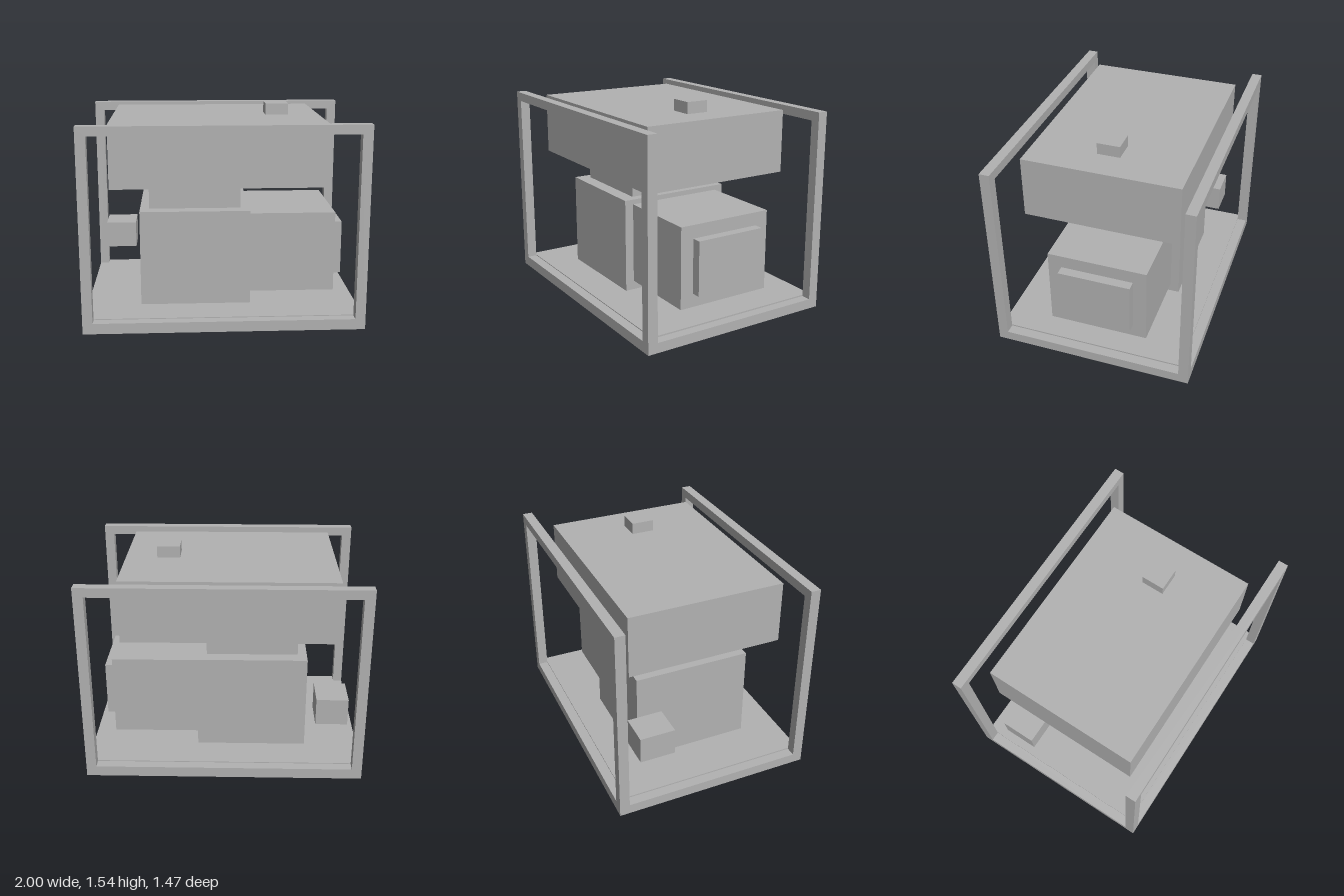
import * as THREE from 'three';

export function createModel() {
  const model = new THREE.Group();
  const grey = new THREE.MeshStandardMaterial({ color: 0xb2b2b2 });
  grey.name = 'plain grey';

  const add = (name, geometry) => {
    const mesh = new THREE.Mesh(geometry, grey);
    mesh.name = name;
    model.add(mesh);
    return mesh;
  };

  // Box given by its extents along each axis
  const block = (name, [x0, x1], [y0, y1], [z0, z1]) =>
    add(name, new THREE.BoxGeometry(x1 - x0, y1 - y0, z1 - z0))
      .position.set((x0 + x1) / 2, (y0 + y1) / 2, (z0 + z1) / 2);

  const rectangle = (Type, x, y0, y1) => new Type([
    new THREE.Vector2(-x, y0), new THREE.Vector2(x, y0),
    new THREE.Vector2(x, y1), new THREE.Vector2(-x, y1),
  ]);

  // Front and back hoops of the carrying frame
  const hoop = rectangle(THREE.Shape, 1, 0, 1.467);
  hoop.holes.push(rectangle(THREE.Path, 0.928, 0.077, 1.4));
  const hoopGeometry = new THREE.ExtrudeGeometry(hoop, { depth: 0.073, bevelEnabled: false });
  add('frontFrame', hoopGeometry).position.z = 0.66;
  add('backFrame', hoopGeometry).position.z = -0.733;

  // Bottom side rails and the floor plate between them
  block('leftRail', [0.928, 1], [0, 0.073], [-0.66, 0.66]);
  block('rightRail', [-1, -0.928], [0, 0.073], [-0.66, 0.66]);
  block('floorPlate', [-0.928, 0.928], [0.017, 0.083], [-0.66, 0.66]);

  // Engine with its cover
  block('engine', [-0.6, 0.2], [0.103, 0.803], [-0.433, 0.433]);
  block('engineCover', [-0.533, 0.133], [0.803, 0.97], [-0.333, 0.333]);

  // Alternator with its end panel
  block('alternator', [0.2, 0.83], [0.17, 0.767], [-0.367, 0.367]);
  block('endPanel', [0.83, 0.9], [0.27, 0.67], [-0.267, 0.267]);

  // Exhaust box
  block('muffler', [-0.9, -0.667], [0.337, 0.537], [-0.533, -0.273]);

  // Fuel tank and cap
  block('fuelTank', [-0.8, 0.73], [1, 1.453], [-0.567, 0.567]);
  block('fuelCap', [0.333, 0.5], [1.453, 1.537], [-0.067, 0.1]);

  return model;
}
